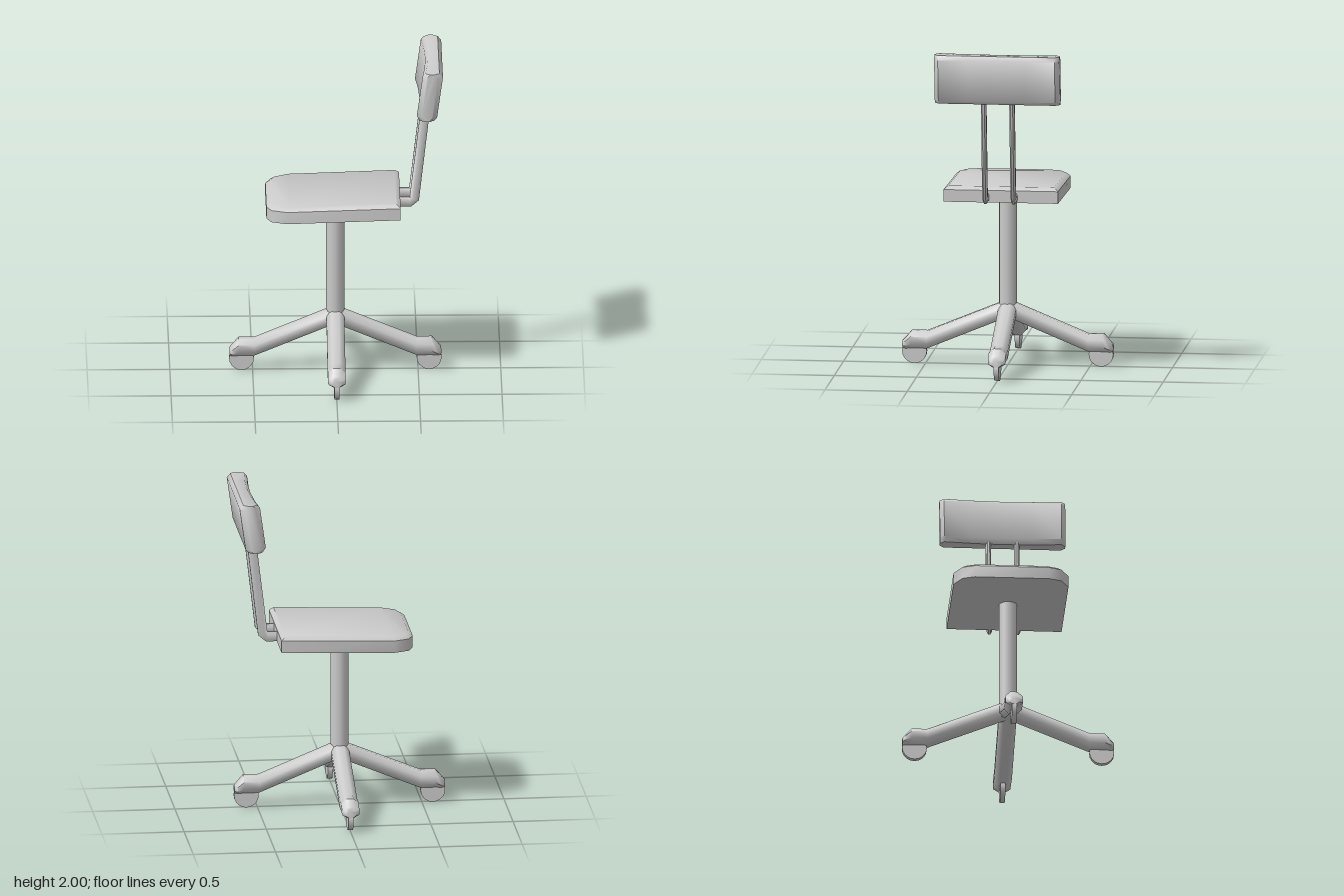
import * as THREE from 'three';
import { toCreasedNormals } from 'three/addons/utils/BufferGeometryUtils.js';

const material = new THREE.MeshStandardMaterial({ color: 0xcccccc });

function part(name, geometry, parent) {
  const mesh = new THREE.Mesh(geometry, material);
  mesh.name = name;
  parent.add(mesh);
  return mesh;
}

// Skin a row of equal-length cross-sections and cap both ends
function loft(rings, crease = 0.85) {
  const n = rings[0].length, last = (rings.length - 1) * n, index = [];
  for (let i = 0; i < rings.length - 1; i++) {
    for (let j = 0; j < n; j++) {
      const a = i * n + j, b = i * n + (j + 1) % n;
      index.push(a, b, b + n, a, b + n, a + n);
    }
  }
  for (let j = 1; j < n - 1; j++) {
    index.push(0, j + 1, j, last, last + j, last + j + 1);
  }
  const g = new THREE.BufferGeometry();
  g.setAttribute('position', new THREE.Float32BufferAttribute(rings.flat(2), 3));
  g.setIndex(index);
  return toCreasedNormals(g, crease);
}

// Octagonal section at (x, y), facing along an angle in the xy plane
function octagon(x, y, angle, rn, rz) {
  const k = 1 / Math.cos(Math.PI / 8);
  return Array.from({ length: 8 }, (_, i) => {
    const t = (i + 0.5) * Math.PI / 4;
    const u = Math.cos(t) * rn * k;
    return [x - Math.sin(angle) * u, y + Math.cos(angle) * u, Math.sin(t) * rz * k];
  });
}

export function createModel() {
  const chair = new THREE.Group();
  chair.name = 'swivelChair';

  // Seat: clipped front corners, bevelled top rim, slight rise to the back
  const half = [[-0.295, 0.348], [0.39, 0.348]];
  const front = [[-0.42, 0.225], [-0.39, 0.3]];
  const outline = [
    ...half,
    ...half.map(([x, z]) => [x, -z]).reverse(),
    ...front.map(([x, z]) => [x, -z]).reverse(),
    ...front,
  ];
  const seatRing = (y, inset) => outline.map(([x, z]) => {
    const sx = 1 - inset / 0.405, sz = 1 - inset / 0.348;
    return [(x + 0.015) * sx - 0.015, y + 0.025 * (x + 0.42) / 0.81, z * sz];
  });
  part('seat', loft([seatRing(1.038, 0), seatRing(1.112, 0), seatRing(1.133, 0.025)]), chair);

  // Central column
  const column = part('column', new THREE.CylinderGeometry(0.055, 0.055, 0.78, 12), chair);
  column.position.y = 0.68;

  // Four legs, each bending level at the foot and ending in a bevelled nose
  for (let i = 0; i < 4; i++) {
    const leg = new THREE.Group();
    leg.name = 'leg' + (i + 1);
    leg.rotation.y = i * Math.PI / 2;
    part('legTube', loft([
      octagon(0, 0.35, 0, 0.053, 0.054),
      octagon(0.49, 0.148, 0, 0.053, 0.054),
      octagon(0.585, 0.148, 0, 0.053, 0.054),
      octagon(0.622, 0.125, 0, 0.033, 0.052),
      octagon(0.64, 0.118, 0, 0.023, 0.03),
    ]), leg);
    const wheel = part('wheel', new THREE.CylinderGeometry(0.075, 0.075, 0.03, 20), leg);
    wheel.rotation.x = Math.PI / 2;
    wheel.position.set(0.567, 0.077, 0);
    chair.add(leg);
  }

  // Pair of bent flat bars carrying the backrest
  for (const side of [-1, 1]) {
    const bar = part('backSupport', loft([
      octagon(0.34, 1.095, 0, 0.031, 0.016),
      octagon(0.45, 1.095, 0.2, 0.031, 0.016),
      octagon(0.476, 1.115, 1.2, 0.03, 0.016),
      octagon(0.552, 1.76, 1.46, 0.028, 0.016),
    ]), chair);
    bar.position.z = side * 0.086;
  }

  // Backrest: leaning slab with bevelled edges and a hollowed front face
  const backRing = (z, x0, x1) => [
    [x0, 1.73], [x0 + 0.025, 1.7], [x1 - 0.015, 1.7], [x1, 1.72],
    [x1, 1.975], [x1 - 0.025, 2], [x0 + 0.015, 2], [x0, 1.98],
  ].map(([x, y]) => [x + 0.14 * (y - 1.73), y, z]);
  part('backrest', loft([
    backRing(-0.38, 0.515, 0.582),
    backRing(-0.355, 0.487, 0.611),
    backRing(-0.18, 0.502, 0.611),
    backRing(0, 0.508, 0.611),
    backRing(0.18, 0.502, 0.611),
    backRing(0.355, 0.487, 0.611),
    backRing(0.38, 0.515, 0.582),
  ]), chair);

  return chair;
}
